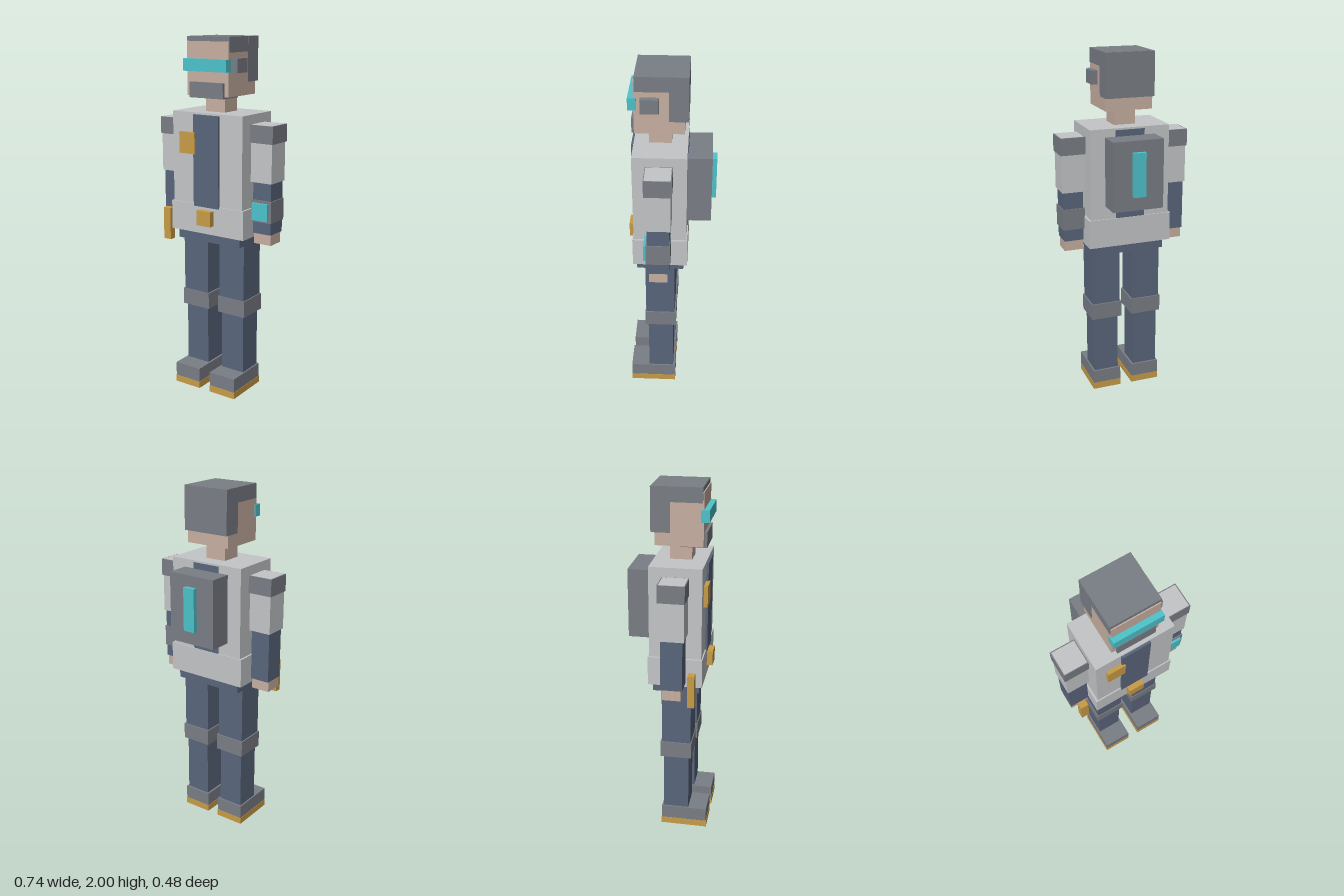
import * as THREE from 'three';

const mat = (name, color) => {
  const m = new THREE.MeshStandardMaterial({ color });
  m.name = name;
  return m;
};

export function createModel() {
  const cloth = mat('lightGreyCloth', 0xc4c6c8);
  const grey = mat('darkGrey', 0x7a7e85);
  const navy = mat('navy', 0x5a667c);
  const skin = mat('skin', 0xc8b0a2);
  const teal = mat('teal', 0x4ec3cc);
  const gold = mat('gold', 0xc89c47);

  const model = new THREE.Group();
  model.name = 'figure';

  // Box given by its extents along each axis
  const box = (parent, name, material, [x0, x1], [y0, y1], [z0, z1]) => {
    const mesh = new THREE.Mesh(new THREE.BoxGeometry(x1 - x0, y1 - y0, z1 - z0), material);
    mesh.position.set((x0 + x1) / 2, (y0 + y1) / 2, (z0 + z1) / 2);
    mesh.name = name;
    parent.add(mesh);
  };
  const group = (name) => {
    const g = new THREE.Group();
    g.name = name;
    model.add(g);
    return g;
  };
  const wide = (h) => [-h, h];

  // Head
  const head = group('head');
  box(head, 'face', skin, wide(0.133), [1.69, 1.975], [-0.07, 0.19]);
  box(head, 'hairTop', grey, wide(0.137), [1.92, 2], [-0.085, 0.184]);
  box(head, 'hairBack', grey, wide(0.138), [1.76, 1.999], [-0.09, 0.01]);
  box(head, 'visor', teal, wide(0.138), [1.82, 1.885], [0.175, 0.22]);
  box(head, 'earpiece', grey, [0.12, 0.167], [1.815, 1.89], [0.06, 0.155]);
  box(head, 'mask', grey, wide(0.108), [1.68, 1.763], [0.06, 0.205]);
  box(head, 'neck', skin, wide(0.062), [1.58, 1.7], [0, 0.12]);

  // Torso
  const torso = group('torso');
  box(torso, 'jacket', cloth, wide(0.228), [0.94, 1.6], [-0.086, 0.2]);
  box(torso, 'jacketHem', cloth, wide(0.24), [0.932, 1.095], [-0.092, 0.207]);
  box(torso, 'shirtPanel', navy, wide(0.083), [1.085, 1.59], [-0.09, 0.213]);
  box(torso, 'chestBadge', gold, [-0.17, -0.068], [1.375, 1.492], [0.195, 0.222]);
  box(torso, 'buckle', gold, wide(0.046), [0.985, 1.068], [0.2, 0.24]);
  box(torso, 'pelvis', navy, wide(0.205), [0.88, 0.95], [-0.07, 0.188]);

  // Backpack
  const pack = group('backpack');
  box(pack, 'packBody', grey, wide(0.144), [1.17, 1.555], [-0.216, -0.08]);
  box(pack, 'packLight', teal, wide(0.035), [1.25, 1.493], [-0.241, -0.21]);

  // Mirrored limbs
  for (const s of [-1, 1]) {
    const side = s > 0 ? 'left' : 'right';
    const span = (a, b) => (s > 0 ? [a, b] : [-b, -a]);

    const arm = group(side + 'Arm');
    box(arm, 'sleeve', cloth, span(0.235, 0.365), [1.243, 1.551], [-0.008, 0.127]);
    box(arm, 'shoulderPad', grey, span(0.23, 0.371), [1.455, 1.55], [-0.014, 0.131]);
    box(arm, 'forearm', navy, span(0.246, 0.358), [0.96, 1.25], [0, 0.118]);
    box(arm, 'hand', skin, span(0.248, 0.355), [0.9, 0.97], [0.01, 0.11]);

    const leg = group(side + 'Leg');
    box(leg, 'thigh', navy, span(0.04, 0.204), [0.5, 0.9], [-0.022, 0.143]);
    box(leg, 'shin', navy, span(0.049, 0.195), [0.1, 0.52], [-0.013, 0.132]);
    box(leg, 'kneePad', grey, span(0.032, 0.211), [0.463, 0.558], [-0.03, 0.148]);
    box(leg, 'boot', grey, span(0.037, 0.204), [0, 0.12], [-0.024, 0.239]);
    box(leg, 'sole', gold, span(0.035, 0.206), [0.001, 0.04], [-0.026, 0.241]);
  }

  // Wrist computer on the left arm, tool at the right hand
  const wrist = group('wristComputer');
  box(wrist, 'bracer', grey, [0.238, 0.364], [1.027, 1.147], [-0.004, 0.126]);
  box(wrist, 'screen', teal, [0.25, 0.347], [1.037, 1.133], [0.12, 0.14]);
  box(model, 'handTool', gold, [-0.326, -0.278], [0.85, 1.035], [0.14, 0.178]);

  return model;
}
